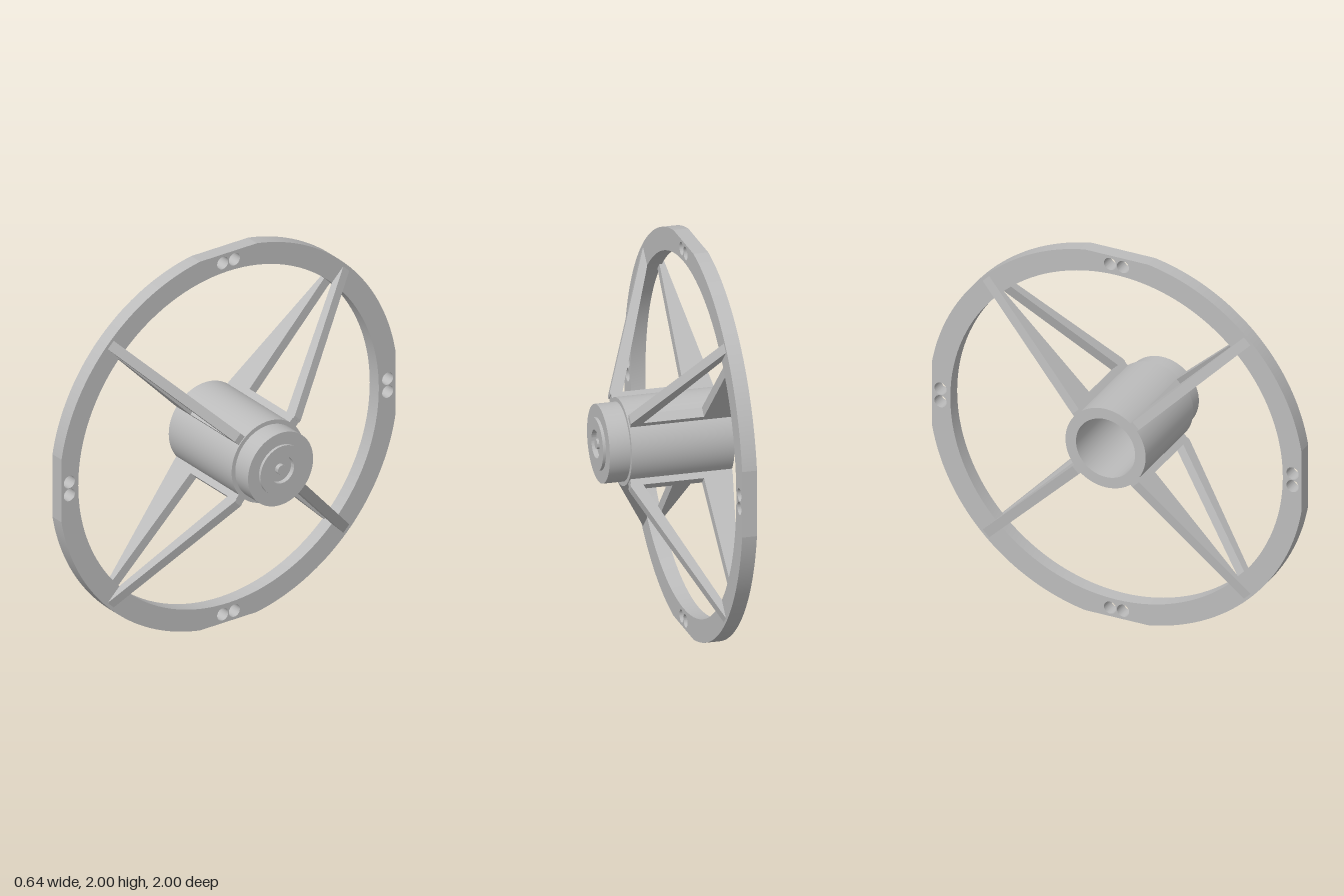
import * as THREE from 'three';
import { toCreasedNormals } from 'three/addons/utils/BufferGeometryUtils.js';

const grey = new THREE.MeshStandardMaterial({ color: 0xbcbcbc });
grey.name = 'plain grey';

function add(parent, name, geometry) {
  const mesh = new THREE.Mesh(geometry, grey);
  mesh.name = name;
  parent.add(mesh);
  return mesh;
}

// Turned part around the x axis; points are [radius, x]
function turned(points) {
  const g = new THREE.LatheGeometry(points.map(([r, x]) => new THREE.Vector2(r, x)), 72);
  g.rotateZ(-Math.PI / 2);
  return toCreasedNormals(g, 0.5);
}

// Flat plate with an outline in [x, radius], centred on its thickness
function plate(points, thickness) {
  const shape = new THREE.Shape(points.map(([x, r]) => new THREE.Vector2(x, r)));
  const g = new THREE.ExtrudeGeometry(shape, { depth: thickness, bevelEnabled: false });
  return g.translate(0, 0, -thickness / 2);
}

// Rim with four flats on the outside and a pair of holes at each flat
function rimGeometry() {
  const radius = 1.0143, flat = Math.acos(1 / radius), quarter = Math.PI / 2;
  const shape = new THREE.Shape();
  for (let k = 0; k < 4; k++) {
    shape.absarc(0, 0, radius, k * quarter + flat, (k + 1) * quarter - flat, false);
  }
  shape.closePath();
  const hole = (x, y, r) => shape.holes.push(new THREE.Path().absarc(x, y, r, 0, Math.PI * 2, true));
  hole(0, 0, 0.9);
  for (const side of [-1, 1]) {
    for (const offset of [-0.035, 0.035]) {
      hole(side * 0.953, offset, 0.033);
      hole(offset, side * 0.953, 0.033);
    }
  }
  const g = new THREE.ExtrudeGeometry(shape, { depth: 0.075, bevelEnabled: false, curveSegments: 64 });
  g.translate(0, 0, -0.2);
  g.rotateY(Math.PI / 2);
  return toCreasedNormals(g, 0.12);
}

export function createModel() {
  const model = new THREE.Group();
  model.name = 'wheel';
  const wheel = new THREE.Group();
  wheel.name = 'wheelAssembly';
  wheel.position.y = 1;
  model.add(wheel);

  add(wheel, 'rim', rimGeometry());

  // Hollow hub, open at the -x end
  add(wheel, 'hub', turned([
    [0, 0.18], [0.16, 0.18], [0.16, -0.32], [0.217, -0.32], [0.217, 0.2], [0.18, 0.2],
  ]));

  // Stepped cap with a recess and centre pin
  add(wheel, 'hubCap', turned([
    [0.195, 0.19], [0.195, 0.305], [0.13, 0.305], [0.13, 0.32], [0.07, 0.32],
    [0.07, 0.295], [0.025, 0.295], [0.025, 0.318], [0, 0.318],
  ]));

  // Four spokes: a tapered rear gusset, a hub rib and a slanted front strut
  const width = 0.05;
  const gusset = plate([[-0.32, 0.2], [-0.17, 0.2], [-0.19, 1.0], [-0.2, 1.0], [-0.32, 0.23]], width);
  const rib = plate([[-0.175, 0.2], [0.195, 0.2], [0.195, 0.25], [-0.175, 0.25]], width);
  const strut = plate([[0.14, 0.24], [0.199, 0.24], [0.199, 0.255], [-0.126, 1.0],
    [-0.135, 1.0], [-0.135, 0.905], [-0.126, 0.9]], width);
  for (let k = 0; k < 4; k++) {
    const spoke = new THREE.Group();
    spoke.name = 'spoke' + (k + 1);
    spoke.rotation.x = Math.PI / 4 + k * Math.PI / 2;
    add(spoke, 'rearGusset', gusset);
    add(spoke, 'hubRib', rib);
    add(spoke, 'frontStrut', strut);
    wheel.add(spoke);
  }
  return model;
}
